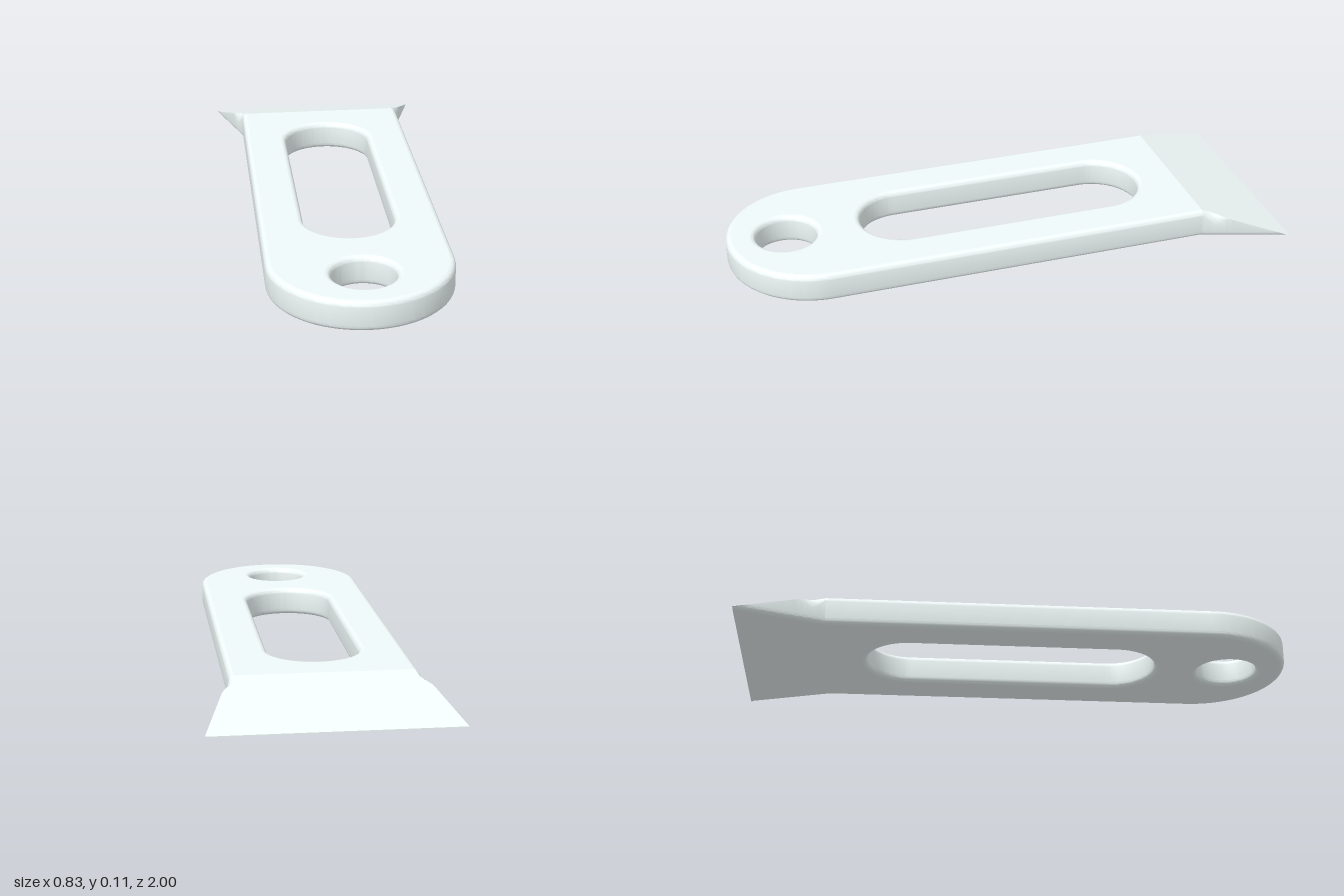
import * as THREE from 'three';
import { toCreasedNormals } from 'three/addons/utils/BufferGeometryUtils.js';

const T = 0.105, R = 0.02, W = 0.315;          // thickness, edge rounding, half width
const Z_BLADE = -0.69, Z_EDGE = -1;            // start of the bevel, cutting edge
const EDGE = 0.004, W_EDGE = 0.414;            // cutting edge height and half width

// Smooth rounded edges, but keep faces along the given directions perfectly flat
function smooth(geometry, flatDirections) {
  const g = toCreasedNormals(geometry, 0.36);
  const p = g.attributes.position, n = g.attributes.normal;
  const tri = new THREE.Triangle(), normal = new THREE.Vector3();
  for (let i = 0; i < p.count; i += 3) {
    tri.setFromAttributeAndIndices(p, i, i + 1, i + 2).getNormal(normal);
    if (flatDirections.some((d) => d.dot(normal) > 0.9995)) {
      for (let k = i; k < i + 3; k++) n.setXYZ(k, normal.x, normal.y, normal.z);
    }
  }
  return g;
}

// Flat bar with a round front end, a long slot and a round hole
function bodyGeometry() {
  const shape = new THREE.Shape();
  shape.absarc(0, -0.685, W, Math.PI, 2 * Math.PI, false);
  shape.lineTo(W, -Z_BLADE);
  shape.lineTo(-W, -Z_BLADE);
  shape.closePath();

  const slot = new THREE.Path();
  slot.absarc(0, 0.385, 0.16, 0, Math.PI, false);
  slot.absarc(0, -0.355, 0.16, Math.PI, 2 * Math.PI, false);
  slot.closePath();
  const hole = new THREE.Path();
  hole.absarc(0, -0.787, 0.109, 0, 2 * Math.PI, false);
  shape.holes.push(slot, hole);

  const g = new THREE.ExtrudeGeometry(shape, {
    depth: T - 2 * R, bevelEnabled: true, bevelSize: R, bevelThickness: R,
    bevelOffset: -R, bevelSegments: 5, curveSegments: 36,
  });
  g.rotateX(-Math.PI / 2).translate(0, R, 0);

  // Square off the rounding where the body meets the blade
  const p = g.attributes.position;
  for (let i = 0; i < p.count; i++) {
    if (p.getZ(i) < Z_BLADE + R + 1e-4) p.setZ(i, Z_BLADE);
  }
  return smooth(g, [new THREE.Vector3(0, 1, 0), new THREE.Vector3(0, -1, 0)]);
}

// Flared wedge: rounded cross-sections cut off by the sloping top plane
function bladeGeometry() {
  const stations = 30, arc = 10, ring = 4 * (arc + 1);
  const positions = [], index = [];
  for (let i = 0; i <= stations; i++) {
    const t = i / stations;
    const w = THREE.MathUtils.lerp(W, W_EDGE, t);
    const top = THREE.MathUtils.lerp(T, EDGE, t);
    const z = THREE.MathUtils.lerp(Z_BLADE, Z_EDGE, t);
    // The upper rounding swells at the shoulder, then fades out
    const shoulder = R + 0.033 * Math.sin(Math.PI * Math.min(t / 0.32, 1));
    for (let c = 0; c < 4; c++) {
      const upper = c === 1 || c === 2;
      const r = upper ? shoulder : R;
      const cx = (c < 2 ? 1 : -1) * (w - r);
      const cy = upper ? T - r : r;
      for (let k = 0; k <= arc; k++) {
        const a = (c - 1 + k / arc) * Math.PI / 2;
        positions.push(cx + r * Math.cos(a), Math.min(cy + r * Math.sin(a), top), z);
      }
    }
  }
  for (let i = 0; i < stations; i++) {
    for (let j = 0; j < ring; j++) {
      const a = i * ring + j, b = i * ring + (j + 1) % ring;
      index.push(a, a + ring, b, b, a + ring, b + ring);
    }
  }
  // Thin face along the cutting edge
  const last = stations * ring;
  for (let j = 1; j < ring - 1; j++) index.push(last, last + j + 1, last + j);

  const g = new THREE.BufferGeometry();
  g.setAttribute('position', new THREE.Float32BufferAttribute(positions, 3));
  g.setIndex(index);
  const slope = new THREE.Vector3(0, Z_BLADE - Z_EDGE, EDGE - T).normalize();
  return smooth(g, [slope, new THREE.Vector3(0, -1, 0)]);
}

export function createModel() {
  const group = new THREE.Group();
  group.name = 'scraperTool';
  const material = new THREE.MeshStandardMaterial({ color: 0xf0f9f9 });
  const add = (name, geometry) => {
    const mesh = new THREE.Mesh(geometry, material);
    mesh.name = name;
    group.add(mesh);
  };
  add('slottedBody', bodyGeometry());
  add('flaredBlade', bladeGeometry());
  return group;
}
